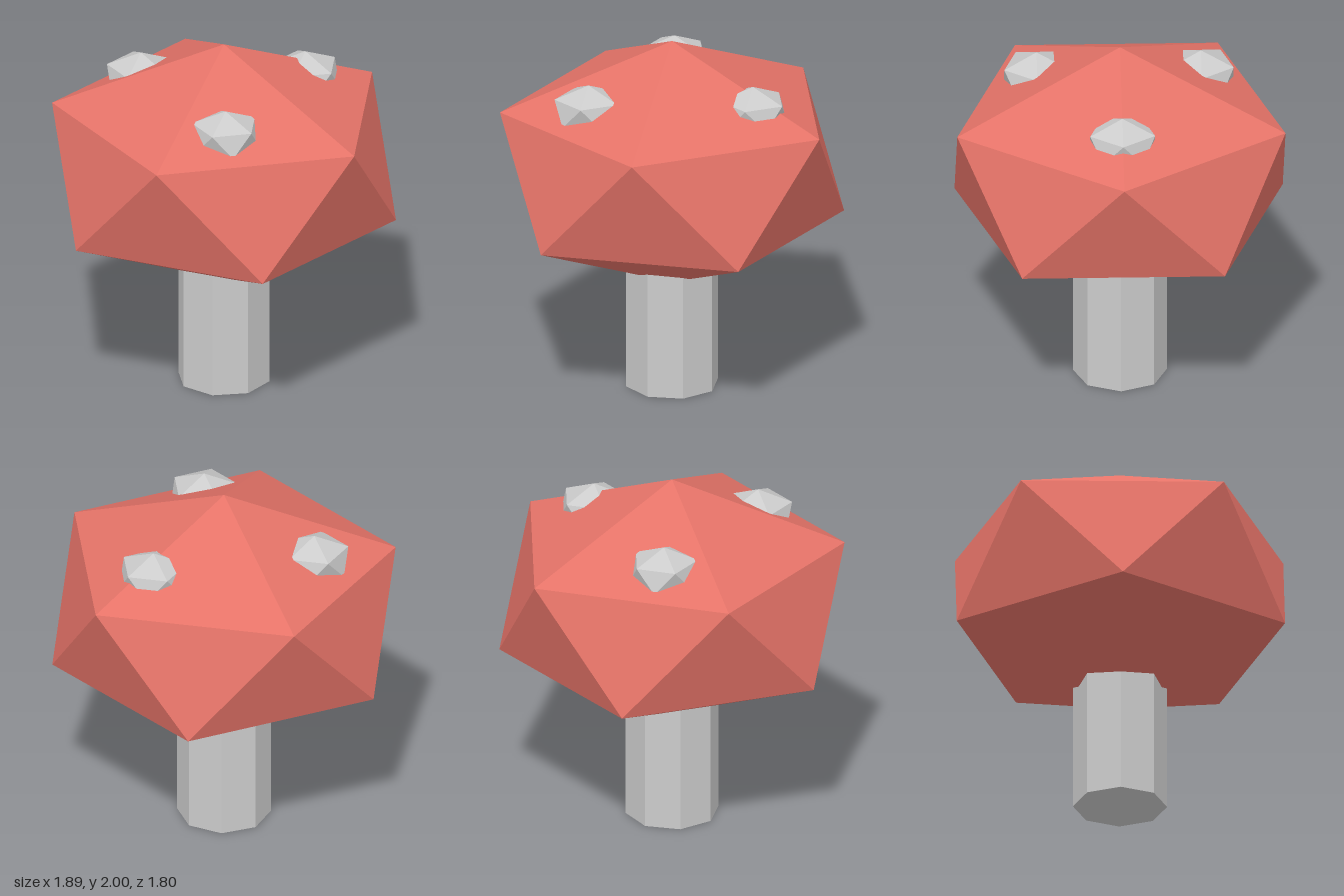
import * as THREE from 'three';
import { ConvexGeometry } from 'three/addons/geometries/ConvexGeometry.js';

const material = (color) => new THREE.MeshStandardMaterial({ color, flatShading: true });

// Squashed icosahedron standing on a vertex; one upper-ring vertex points to +x
function gem(ring, halfHeight) {
  const points = [new THREE.Vector3(0, halfHeight, 0), new THREE.Vector3(0, -halfHeight, 0)];
  for (let i = 0; i < 5; i++) {
    const a = (i / 5) * Math.PI * 2;
    const p = new THREE.Vector3(ring * Math.cos(a), halfHeight * 0.447, ring * Math.sin(a));
    points.push(p, p.clone().negate());
  }
  return new ConvexGeometry(points);
}

export function createModel() {
  const group = new THREE.Group();
  const add = (name, geometry, mat, x, y, z) => {
    const mesh = new THREE.Mesh(geometry, mat);
    mesh.name = name;
    mesh.position.set(x, y, z);
    group.add(mesh);
  };
  const red = material(0xe57368);
  const grey = material(0xcccccc);

  // Octagonal stem, its top buried in the cap
  add('stem', new THREE.CylinderGeometry(0.258, 0.258, 0.78, 8), grey, 0, 0.39, 0);

  // Faceted cap
  add('cap', gem(0.945, 0.705), red, 0, 1.295, 0);

  // Three spots, half sunk into the cap, all facing the same way
  const spot = gem(0.187, 0.141);
  for (let i = 0; i < 3; i++) {
    const a = (i / 3) * Math.PI * 2;
    add('spot' + (i + 1), spot, grey, 0.52 * Math.cos(a), 1.694, 0.52 * Math.sin(a));
  }
  return group;
}
